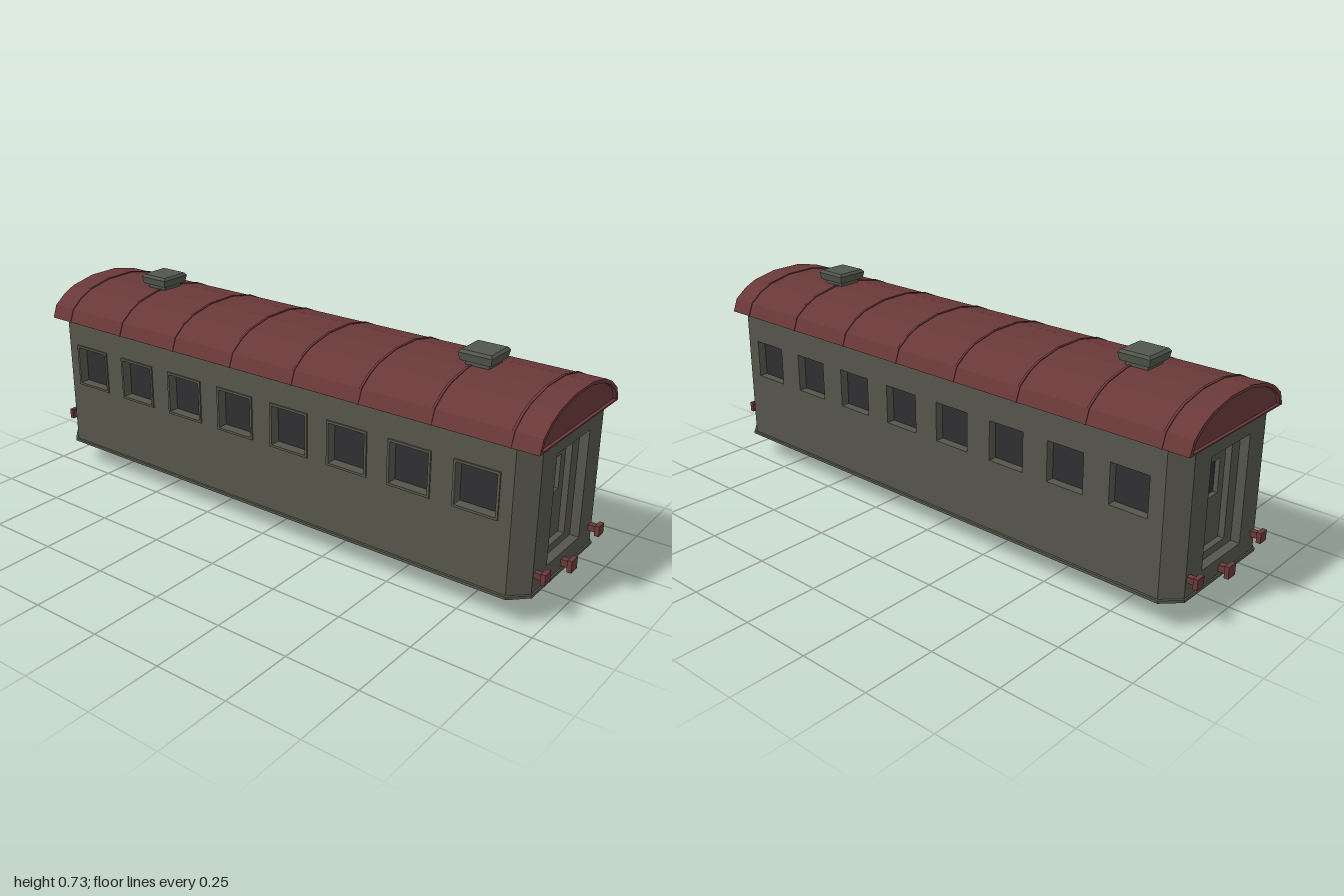
import * as THREE from 'three';

const mat = (name, color) => {
  const m = new THREE.MeshStandardMaterial({ color });
  m.name = name;
  return m;
};

export function createModel() {
  const model = new THREE.Group();
  model.name = 'railwayCarriage';
  const grey = mat('bodyGrey', 0x55554b);
  const red = mat('roofRed', 0x693838);
  const glass = mat('windowDark', 0x2f2f32);
  const iron = mat('wheelIron', 0x2b2d2d);
  const ventGrey = mat('ventGrey', 0x51564b);

  const add = (parent, name, geo, material, x = 0, y = 0, z = 0) => {
    const m = new THREE.Mesh(geo, material);
    m.name = name;
    m.position.set(x, y, z);
    parent.add(m);
    return m;
  };
  const box = (parent, name, w, h, d, material, x, y, z) =>
    add(parent, name, new THREE.BoxGeometry(w, h, d), material, x, y, z);
  const poly = (pts) => new THREE.Shape(pts.map(([x, y]) => new THREE.Vector2(x, y)));
  const rect = (x0, x1, y0, y1) => poly([[x0, y0], [x1, y0], [x1, y1], [x0, y1]]);
  const extrude = (shape, depth) =>
    new THREE.ExtrudeGeometry(shape, { depth, bevelEnabled: false });
  const withHoles = (shape, holes) => {
    shape.holes.push(...holes);
    return shape;
  };

  // Long side walls with eight recessed windows
  const windowX = Array.from({ length: 8 }, (_, i) => -0.788 + i * 0.2253);
  const W = 0.067, Y0 = 0.34, Y1 = 0.475, T = 0.03;
  for (const s of [1, -1]) {
    const side = new THREE.Group();
    side.name = s > 0 ? 'frontSide' : 'backSide';
    if (s < 0) side.rotation.y = Math.PI;
    model.add(side);
    const holes = windowX.map((x) => rect(x - W, x + W, Y0, Y1));
    add(side, 'sideWall', extrude(withHoles(rect(-0.905, 0.905, 0.1, 0.567), holes), T),
      grey, 0, 0, 0.247 - T);
    for (const x of windowX) {
      box(side, 'windowGlass', W * 2 + 0.01, Y1 - Y0 + 0.01, 0.004, glass, x, (Y0 + Y1) / 2, 0.215);
      if (s > 0) {
        // Slightly raised window surround
        const frame = withHoles(rect(x - W - 0.008, x + W + 0.008, Y0 - 0.008, Y1 + 0.008),
          [rect(x - W, x + W, Y0, Y1)]);
        add(side, 'windowFrame', extrude(frame, 0.006), grey, 0, 0, 0.246);
      } else {
        // Red lining at the top and one side of the opening
        box(side, 'windowLining', W * 2, 0.003, T - 0.002, red, x, Y1 - 0.0015, 0.231);
        box(side, 'windowLining', 0.003, Y1 - Y0, T - 0.002, red, x + W - 0.0015, (Y0 + Y1) / 2, 0.231);
      }
    }
  }

  // End walls with stepped doorway, buffers and coupling
  for (const s of [1, -1]) {
    const end = new THREE.Group();
    end.name = s > 0 ? 'leftEnd' : 'rightEnd';
    end.rotation.y = s * Math.PI / 2;
    model.add(end);
    const layers = [
      ['endWall', rect(-0.195, 0.195, 0.1, 0.567), rect(-0.107, 0.107, 0.155, 0.513), 0.03, 0.93],
      ['doorFrame', rect(-0.12, 0.12, 0.14, 0.53), rect(-0.063, 0.063, 0.18, 0.49), 0.02, 0.91],
      ['door', rect(-0.075, 0.075, 0.17, 0.5), rect(-0.035, 0.035, 0.335, 0.447), 0.015, 0.895],
    ];
    for (const [name, outer, hole, depth, z] of layers)
      add(end, name, extrude(withHoles(outer, [hole]), depth), grey, 0, 0, z);
    box(end, 'doorGlass', 0.08, 0.12, 0.004, glass, 0, 0.391, 0.893);
    for (const [name, x, y, r] of [['buffer', 0.18, 0.162, 0.0175], ['buffer', -0.18, 0.162, 0.0175],
      ['coupling', 0, 0.122, 0.02]]) {
      box(end, name + 'Stem', r * 1.1, r * 1.1, 0.05, red, x, y, 0.965);
      box(end, name + 'Head', r * 2, r * 2, 0.015, red, x, y, 0.9925);
    }
  }

  // Chamfered corner posts
  for (const sx of [1, -1])
    for (const sz of [1, -1]) {
      const pts = [[0.905, 0.247], [0.96, 0.195], [0.93, 0.195], [0.905, 0.217]];
      const g = extrude(poly(pts.map(([x, z]) => [x * sx, -z * sz])), 0.467);
      g.rotateX(-Math.PI / 2);
      add(model, 'cornerPost', g, grey, 0, 0.1, 0);
    }

  // Floor slab with cut corners
  const floor = extrude(poly([[-0.91, -0.255], [0.91, -0.255], [0.965, -0.2], [0.965, 0.2],
    [0.91, 0.255], [-0.91, 0.255], [-0.965, 0.2], [-0.965, -0.2]]), 0.009);
  floor.rotateX(-Math.PI / 2);
  add(model, 'floor', floor, grey, 0, 0.093, 0);

  // Arched roof: outer shell, recessed core and raised seams
  const arch = (half) => poly([...half, ...half.map(([x, y]) => [-x, y]).reverse()]);
  const outer = [[0.255, 0.566], [0.238, 0.61], [0.195, 0.643], [0.15, 0.664], [0.057, 0.683]];
  const inner = [[0.24, 0.571], [0.226, 0.604], [0.187, 0.633], [0.144, 0.653], [0.055, 0.674]];
  const along = (shape, length, x = 0) => {
    const g = extrude(shape, length);
    g.translate(0, 0, -length / 2);
    g.rotateY(Math.PI / 2);
    g.translate(x, 0, 0);
    return g;
  };
  add(model, 'roofShell', along(withHoles(arch(outer), [arch(inner)]), 1.954), red);
  add(model, 'roofCore', along(arch(inner), 1.934), red);
  const seam = outer.map(([x, y]) => [x * 1.008, y + (y > 0.57 ? 0.0025 : 0)]);
  for (let i = 0; i < 8; i++)
    add(model, 'roofSeam', along(arch(seam), 0.008, -0.887 + i * 0.2535), red);

  // Square tapered roof vents
  const taper = (top, bottom, h) => {
    const g = new THREE.CylinderGeometry(top * Math.SQRT2, bottom * Math.SQRT2, h, 4).toNonIndexed();
    g.rotateY(Math.PI / 4);
    g.computeVertexNormals();
    return g;
  };
  for (const x of [-0.655, 0.655]) {
    const vent = new THREE.Group();
    vent.name = 'roofVent';
    vent.position.x = x;
    model.add(vent);
    add(vent, 'ventNeck', taper(0.04, 0.04, 0.03), ventGrey, 0, 0.686, 0);
    add(vent, 'ventHead', taper(0.057, 0.052, 0.025), ventGrey, 0, 0.71, 0);
    add(vent, 'ventCap', taper(0.05, 0.057, 0.009), ventGrey, 0, 0.727, 0);
  }

  // Underframes and flanged wheels
  for (const s of [1, -1]) {
    box(model, 'underframe', 0.67, 0.045, 0.164, red, s * 0.46, 0.0755, 0);
    for (const sz of [1, -1]) {
      const wheel = new THREE.Group();
      wheel.name = 'wheel';
      wheel.position.set(s * 0.645, 0.06, 0);
      model.add(wheel);
      for (const [name, r, z0, z1] of [['flange', 0.06, 0.081, 0.095],
        ['tyre', 0.05, 0.095, 0.118], ['hub', 0.024, 0.118, 0.123]]) {
        const g = new THREE.CylinderGeometry(r, r, z1 - z0, 16);
        g.rotateX(Math.PI / 2);
        add(wheel, name, g, iron, 0, 0, sz * (z0 + z1) / 2);
      }
    }
  }
  return model;
}
